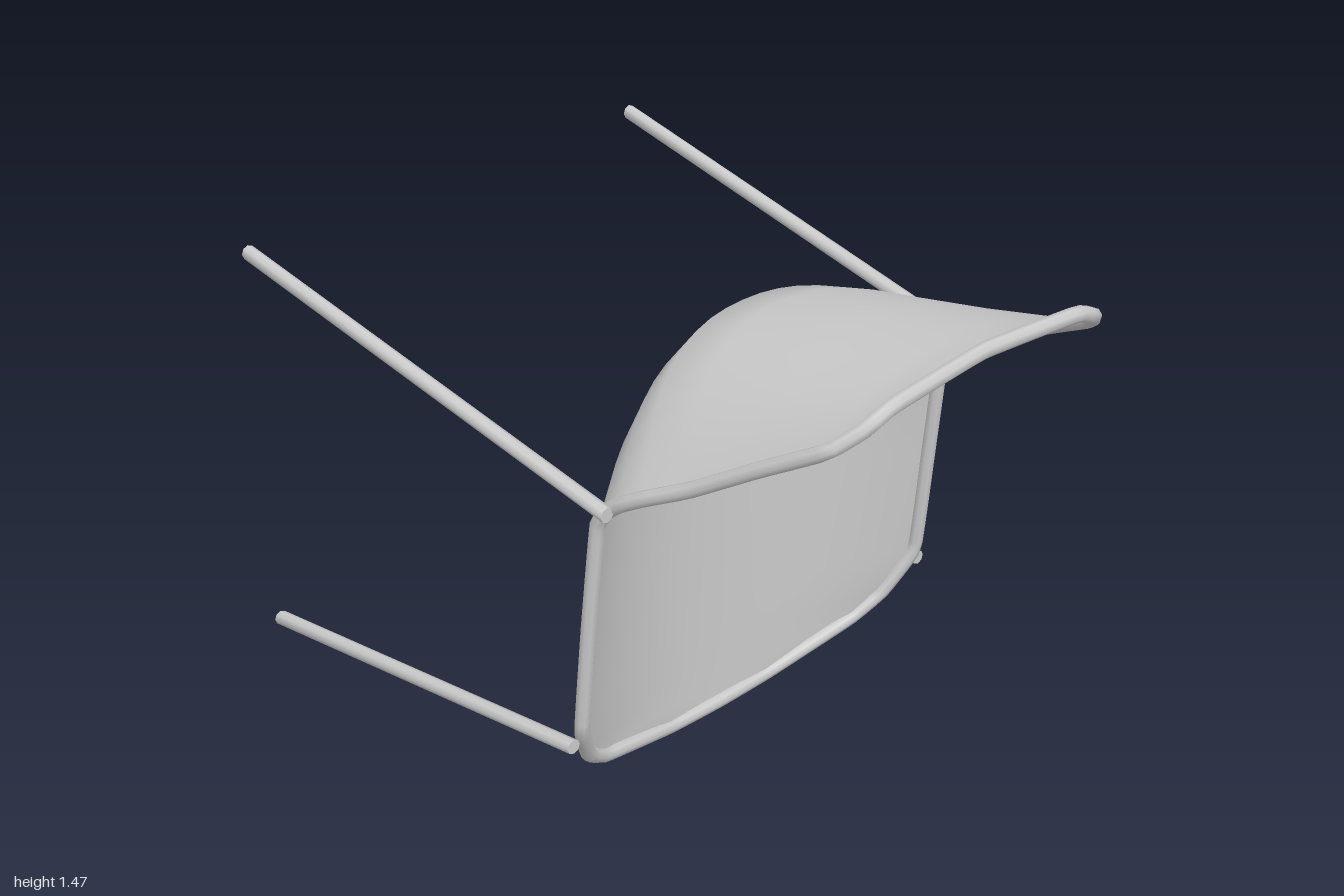
import * as THREE from 'three';

const material = new THREE.MeshStandardMaterial({ color: 0xcccccc, side: THREE.DoubleSide });

// Shell rows, free edge of the seat to top of the back:
// [rim x, rim y, rim z, centre y, centre z]
const ROWS = [
  [0.19, 0.025, 0.09, 0.02, 0.09],
  [0.48, 0.10, 0.14, 0.09, 0.088],
  [0.57, 0.17, 0.18, 0.17, 0.086],
  [0.64, 0.31, 0.235, 0.31, 0.083],
  [0.64, 0.64, 0.27, 0.66, 0.077],
  [0.635, 0.95, 0.305, 1.00, 0.072],
  [0.63, 1.00, 0.33, 1.12, 0.078],
  [0.625, 1.04, 0.38, 1.22, 0.11],
  [0.61, 1.08, 0.45, 1.30, 0.17],
  [0.575, 1.14, 0.57, 1.34, 0.30],
  [0.525, 1.25, 0.75, 1.39, 0.60],
  [0.475, 1.345, 0.915, 1.42, 0.83],
  [0.41, 1.40, 0.97, 1.44, 0.91],
  [0.33, 1.435, 0.98, 1.45, 0.965],
];

// Curved shell: each row bows from the centre line out to the rim
function makeShell() {
  const cols = 20;
  const last = ROWS.length - 1;
  const geometry = new THREE.PlaneGeometry(2, 2, cols, last);
  const pos = geometry.attributes.position;
  for (let i = 0; i < pos.count; i++) {
    const [rx, ry, rz, cy, cz] = ROWS[last - Math.floor(i / (cols + 1))];
    const s = pos.getX(i);
    const k = Math.abs(s) ** 2.2;
    pos.setXYZ(i, s * rx, cy + (ry - cy) * k, cz + (rz - cz) * k);
  }
  geometry.computeVertexNormals();
  return new THREE.Mesh(geometry, material);
}

// Tubular rim following the shell edge, with nearly straight runs between bends
function makeRim() {
  const side = (sign) => ROWS.map(([x, y, z]) => new THREE.Vector3(sign * x, y, z));
  const top = ROWS[ROWS.length - 1];
  const points = [
    new THREE.Vector3(0, ROWS[0][3], ROWS[0][4]),
    ...side(1),
    new THREE.Vector3(0, top[3], top[4]),
    ...side(-1).reverse(),
  ];
  const path = new THREE.CatmullRomCurve3(points, true, 'catmullrom', 0.15);
  return new THREE.Mesh(new THREE.TubeGeometry(path, 140, 0.021, 8, true), material);
}

// Straight leg between two points, its ends cut square to z
function makeLeg(start, end) {
  const [x0, y0, z0] = start;
  const [x1, y1, z1] = end;
  const geometry = new THREE.CylinderGeometry(0.021, 0.021, z0 - z1, 8);
  geometry.rotateX(Math.PI / 2);
  const pos = geometry.attributes.position;
  for (let i = 0; i < pos.count; i++) {
    const t = pos.getZ(i) > 0 ? 0 : 1;
    pos.setXYZ(i,
      pos.getX(i) + x0 + (x1 - x0) * t,
      pos.getY(i) + y0 + (y1 - y0) * t,
      t ? z1 : z0);
  }
  geometry.computeVertexNormals();
  return new THREE.Mesh(geometry, material);
}

export function createModel() {
  const model = new THREE.Group();
  model.name = 'chair';
  const add = (name, mesh) => {
    mesh.name = name;
    model.add(mesh);
  };

  add('seatShell', makeShell());
  add('rim', makeRim());

  // The chair lies on its front edge, so the legs point backwards
  for (const [label, sign] of [['left', 1], ['right', -1]]) {
    add(label + 'RearLeg', makeLeg([sign * 0.66, 1.02, 0.37], [sign * 0.695, 1.265, -1]));
    add(label + 'FrontLeg', makeLeg([sign * 0.665, 0.265, 0.23], [sign * 0.695, 0.105, -1]));
  }
  return model;
}
